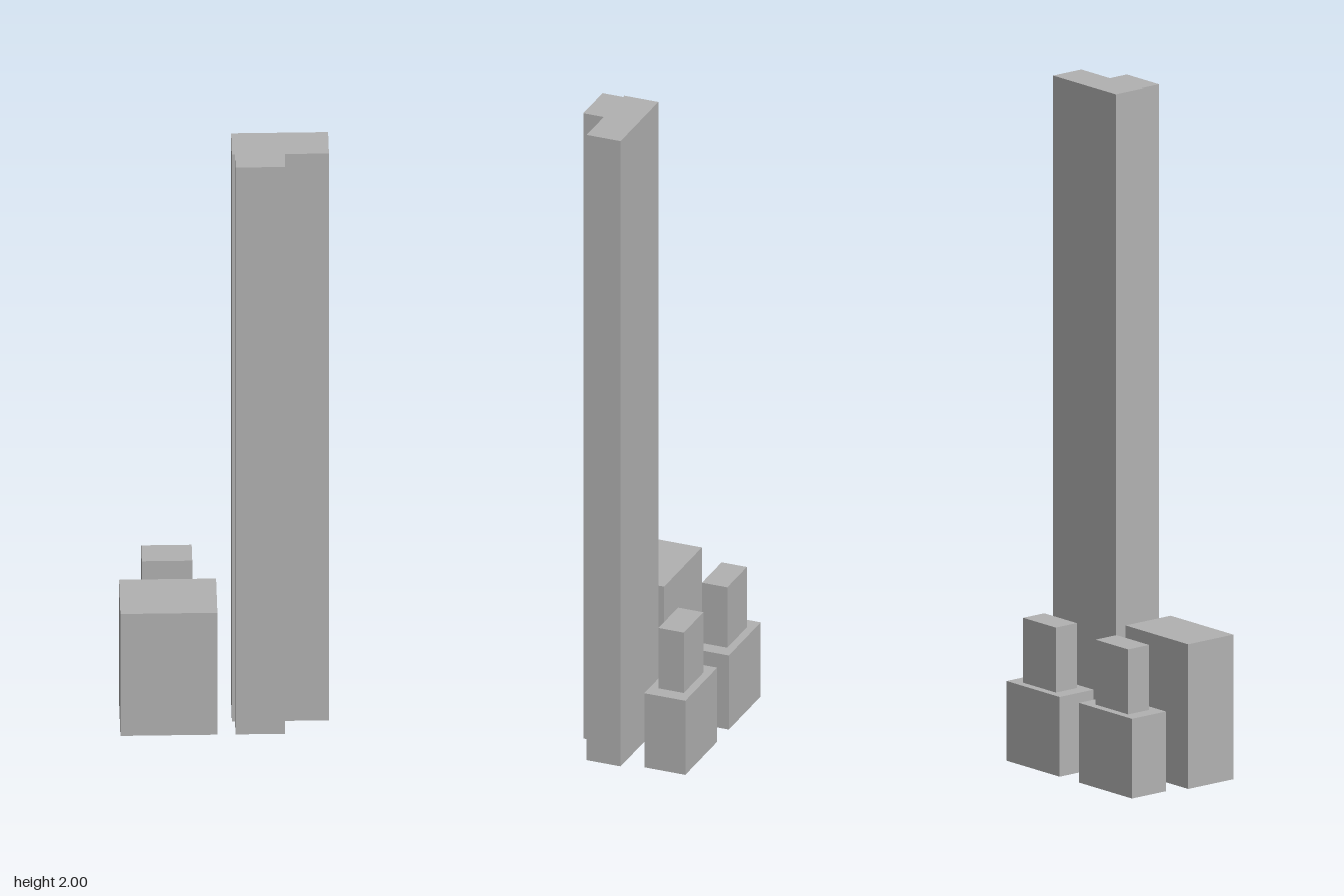
import * as THREE from 'three';

export function createModel() {
  const model = new THREE.Group();
  model.name = 'towerComplex';
  const concrete = new THREE.MeshStandardMaterial({ color: 0xb2b2b2 });
  concrete.name = 'concrete grey';

  // Box given by its extents on each axis
  function block(name, [x0, x1], [y0, y1], [z0, z1]) {
    const mesh = new THREE.Mesh(new THREE.BoxGeometry(x1 - x0, y1 - y0, z1 - z0), concrete);
    mesh.name = name;
    mesh.position.set((x0 + x1) / 2, (y0 + y1) / 2, (z0 + z1) / 2);
    model.add(mesh);
  }

  // Tall tower: wide slab with a narrower bay in front, as one extruded plan
  const plan = new THREE.Shape([
    [0.021, -0.01], [0.021, -0.116], [0.03, -0.116], [0.03, -0.18],
    [0.173, -0.18], [0.173, -0.116], [0.3, -0.116], [0.3, -0.01],
  ].map(([x, y]) => new THREE.Vector2(x, y)));
  const towerGeometry = new THREE.ExtrudeGeometry(plan, { depth: 2, bevelEnabled: false });
  towerGeometry.rotateX(-Math.PI / 2);
  const tower = new THREE.Mesh(towerGeometry, concrete);
  tower.name = 'tallTower';
  model.add(tower);

  // Low block beside the tower
  block('lowBlock', [-0.301, -0.022], [0, 0.43], [0.01, 0.18]);

  // Pair of stepped buildings at the back
  for (const [side, cx] of [['left', 0.161], ['right', -0.161]]) {
    block(side + 'Podium', [cx - 0.118, cx + 0.118], [0, 0.237], [-0.183, -0.055]);
    block(side + 'UpperBlock', [cx - 0.0725, cx + 0.0725], [0.237, 0.43], [-0.159, -0.08]);
  }

  return model;
}
